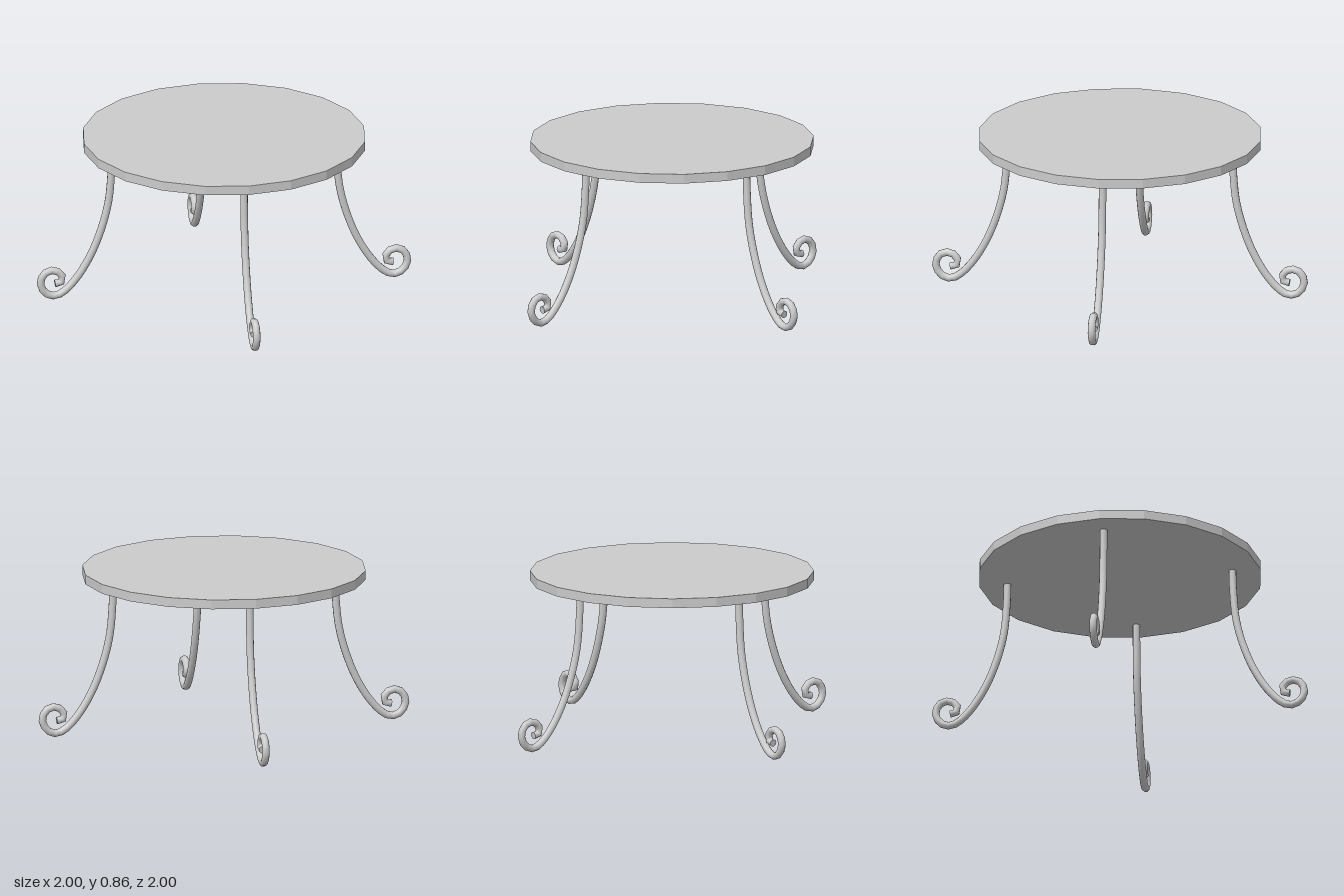
import * as THREE from 'three';

const TUBE = 0.02;

// Leg centre line: drops from the top, sweeps outward, then curls into a scroll
const LEG_PATH = [
  [0.597, 0.825], [0.6, 0.72], [0.617, 0.53], [0.658, 0.37], [0.715, 0.23],
  [0.785, 0.115], [0.85, 0.045], [0.9, 0.02], [0.947, 0.034], [0.977, 0.078],
  [0.974, 0.122], [0.95, 0.153], [0.913, 0.163], [0.878, 0.148],
  [0.861, 0.118], [0.872, 0.092], [0.902, 0.088],
];

export function createModel() {
  const model = new THREE.Group();
  model.name = 'roundTable';
  const material = new THREE.MeshStandardMaterial({ color: 0xcccccc });
  const flat = new THREE.MeshStandardMaterial({ color: 0xcccccc, flatShading: true });

  // Twenty-sided table top
  const top = new THREE.Mesh(new THREE.CylinderGeometry(0.747, 0.747, 0.05, 20), flat);
  top.name = 'tableTop';
  top.position.y = 0.84;
  model.add(top);

  // Four scrolled legs
  const curve = new THREE.CatmullRomCurve3(LEG_PATH.map(([x, y]) => new THREE.Vector3(x, y, 0)));
  const tube = new THREE.TubeGeometry(curve, 36, TUBE, 10, false);
  const cap = new THREE.CircleGeometry(TUBE, 10);
  const names = ['leftLeg', 'backLeg', 'rightLeg', 'frontLeg'];
  names.forEach((name, i) => {
    const leg = new THREE.Group();
    leg.name = name;
    const rod = new THREE.Mesh(tube, material);
    rod.name = 'scrolledRod';
    leg.add(rod);

    // Discs closing both ends of the rod
    for (const t of [0, 1]) {
      const end = new THREE.Mesh(cap, material);
      end.name = t ? 'scrollEnd' : 'upperEnd';
      const outward = curve.getTangentAt(t).multiplyScalar(t ? 1 : -1);
      end.quaternion.setFromUnitVectors(new THREE.Vector3(0, 0, 1), outward);
      end.position.copy(curve.getPointAt(t));
      leg.add(end);
    }
    leg.rotation.y = i * Math.PI / 2;
    model.add(leg);
  });
  return model;
}
